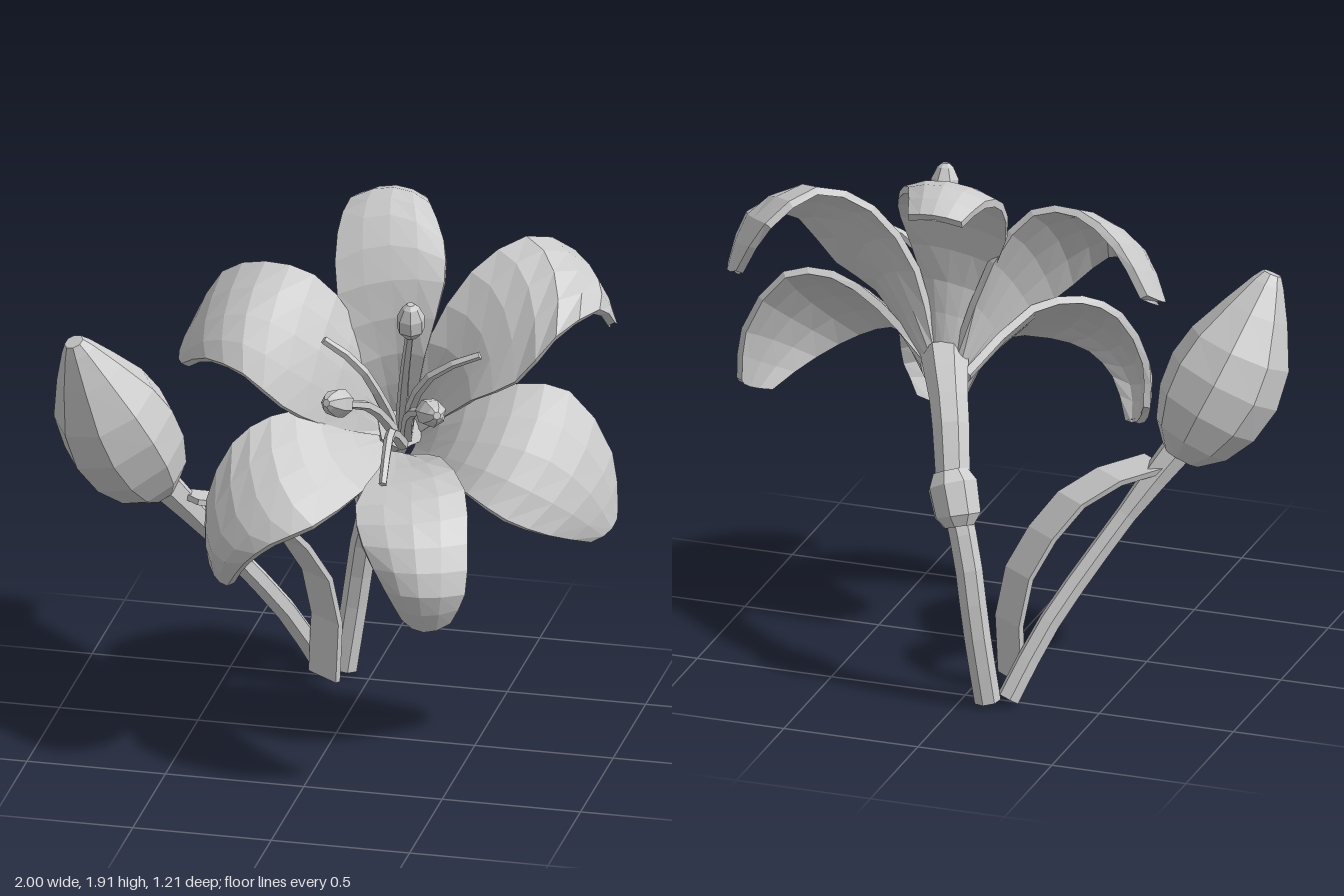
import * as THREE from 'three';

const V = (p) => new THREE.Vector3(...p);
const spline = (pts) => new THREE.CatmullRomCurve3(pts.map(V));
const even = (n) => Array.from({ length: n + 1 }, (_, i) => i / n);
const grey = new THREE.MeshStandardMaterial({ color: 0xcccccc });
grey.name = 'pale grey';

// Piecewise linear lookup in a list of [t, value] pairs
function ramp(list, t) {
  for (let i = 1; i < list.length; i++) {
    const [t0, a] = list[i - 1], [t1, b] = list[i];
    if (t <= t1) return a + (b - a) * (t - t0) / (t1 - t0);
  }
  return list[list.length - 1][1];
}

// Closed, faceted skin over rings of points, capped at both ends
function loft(name, rings) {
  const n = rings[0].length, pos = [], idx = [];
  rings.forEach((r) => r.forEach((p) => pos.push(p.x, p.y, p.z)));
  for (let i = 0; i < rings.length - 1; i++) {
    for (let j = 0; j < n; j++) {
      const k = (j + 1) % n;
      const a = i * n + j, b = i * n + k, c = b + n, d = a + n;
      idx.push(a, b, d, b, c, d);
    }
  }
  [0, rings.length - 1].forEach((row) => {
    const mid = new THREE.Vector3();
    rings[row].forEach((p) => mid.addScaledVector(p, 1 / n));
    const c = pos.length / 3;
    pos.push(mid.x, mid.y, mid.z);
    for (let j = 0; j < n; j++) {
      const a = row * n + j, b = row * n + (j + 1) % n;
      if (row === 0) idx.push(c, b, a);
      else idx.push(c, a, b);
    }
  });
  let geo = new THREE.BufferGeometry();
  geo.setAttribute('position', new THREE.Float32BufferAttribute(pos, 3));
  geo.setIndex(idx);
  geo = geo.toNonIndexed();
  geo.computeVertexNormals();
  const mesh = new THREE.Mesh(geo, grey);
  mesh.name = name;
  return mesh;
}

// Round part along a path; radii are [t, radius] pairs
function tube(name, pts, radii, sides, stations) {
  const curve = spline(pts);
  const frames = curve.computeFrenetFrames(40);
  return loft(name, stations.map((t) => {
    const f = Math.round(t * 40), p = curve.getPointAt(t), r = ramp(radii, t), ring = [];
    for (let j = 0; j < sides; j++) {
      const a = j / sides * Math.PI * 2;
      ring.push(p.clone().addScaledVector(frames.normals[f], r * Math.cos(a))
        .addScaledVector(frames.binormals[f], r * Math.sin(a)));
    }
    return ring;
  }));
}

// Curved plate spanned by an edge, a middle line and the opposite edge
function plate(name, edgeA, middle, edgeB, thick, stations, across) {
  const [ca, cm, cb] = [edgeA, middle, edgeB].map(spline);
  return loft(name, stations.map((t) => {
    const A = ca.getPoint(t), M = cm.getPoint(t), B = cb.getPoint(t);
    const half = A.clone().sub(B).multiplyScalar(0.5);
    const bow = A.clone().add(B).multiplyScalar(0.5).sub(M);
    const N = cm.getTangent(t).cross(half).normalize();
    const front = [], back = [];
    for (let j = 0; j <= across; j++) {
      const v = 1 - 2 * j / across;
      const q = M.clone().addScaledVector(half, v).addScaledVector(bow, v * v);
      front.push(q);
      back.unshift(q.clone().addScaledVector(N, -thick));
    }
    return [...front, ...back];
  }));
}

// Each petal: one edge, the middle line, the other edge, from throat to tip
const PETALS = {
  topPetal: [
    [[.13, 1.17, -.16], [.07, 1.38, -.1], [-.03, 1.62, -.14], [-.06, 1.8, -.27], [-.05, 1.87, -.43], [-.01, 1.84, -.57]],
    [[.19, 1.18, -.17], [.19, 1.42, -.13], [.16, 1.68, -.17], [.12, 1.87, -.31], [.1, 1.915, -.45], [.09, 1.86, -.59]],
    [[.24, 1.17, -.16], [.29, 1.42, -.12], [.345, 1.68, -.19], [.32, 1.8, -.29], [.24, 1.88, -.42], [.19, 1.84, -.57]]],
  upperLeftPetal: [
    [[.22, 1.19, -.17], [.29, 1.46, -.16], [.43, 1.71, -.24], [.6, 1.81, -.37], [.74, 1.71, -.52], [.86, 1.5, -.49]],
    [[.24, 1.14, -.18], [.42, 1.42, -.12], [.57, 1.62, -.15], [.73, 1.74, -.24], [.86, 1.67, -.37], [.91, 1.48, -.44]],
    [[.27, 1.12, -.15], [.48, 1.31, -.03], [.64, 1.4, -.02], [.78, 1.57, -.06], [.9, 1.62, -.22], [.92, 1.51, -.37]]],
  leftPetal: [
    [[.25, 1.14, -.18], [.45, 1.28, -.1], [.64, 1.37, -.08], [.82, 1.35, -.1], [.97, 1.12, -.12], [.995, .92, -.1]],
    [[.25, 1.08, -.17], [.44, 1.18, .04], [.62, 1.22, .13], [.8, 1.17, .12], [.93, 1.03, .05], [.99, .87, -.03]],
    [[.23, 1.03, -.14], [.38, 1.08, .1], [.53, 1.07, .24], [.68, 1.0, .28], [.82, .92, .2], [.93, .84, .04]]],
  bottomPetal: [
    [[.24, 1.03, -.14], [.4, 1.14, .1], [.53, 1.1, .28], [.575, .96, .43], [.585, .8, .51], [.53, .68, .5]],
    [[.2, 1.04, -.14], [.3, 1.1, .12], [.36, 1.08, .38], [.41, .97, .54], [.44, .81, .6], [.44, .65, .53]],
    [[.15, 1.04, -.14], [.18, 1.08, .12], [.16, 1.05, .39], [.22, .96, .53], [.31, .81, .57], [.36, .69, .53]]],
  lowerRightPetal: [
    [[.17, 1.03, -.14], [.16, 1.06, .28], [.03, 1.0, .49], [-.11, .94, .545], [-.21, .85, .53], [-.29, .72, .44]],
    [[.13, 1.07, -.15], [.03, 1.16, .22], [-.11, 1.13, .41], [-.25, 1.01, .48], [-.34, .86, .47], [-.35, .74, .4]],
    [[.12, 1.1, -.17], [-.04, 1.27, .08], [-.19, 1.28, .2], [-.31, 1.2, .28], [-.39, 1.0, .34], [-.39, .82, .35]]],
  upperRightPetal: [
    [[.15, 1.09, -.15], [-.02, 1.23, .12], [-.14, 1.33, .22], [-.28, 1.45, .24], [-.43, 1.47, .18], [-.55, 1.38, .04]],
    [[.14, 1.13, -.17], [.02, 1.4, 0], [-.13, 1.55, .09], [-.3, 1.62, .11], [-.46, 1.56, .06], [-.575, 1.4, -.03]],
    [[.16, 1.17, -.18], [.04, 1.52, -.14], [-.1, 1.71, -.09], [-.28, 1.74, -.1], [-.45, 1.66, -.16], [-.555, 1.47, -.15]]],
};

// Stamens: three carry an anther, three are bare
const STAMENS = [
  { path: [[.2, 1.1, -.14], [.25, 1.38, .02], [.3, 1.63, .14]], anther: [[.3, 1.6, .13], [.305, 1.735, .155]] },
  { path: [[.19, 1.1, -.14], [.15, 1.32, .13], [.09, 1.4, .32]], anther: [[.105, 1.39, .28], [.06, 1.44, .41]] },
  { path: [[.22, 1.1, -.14], [.3, 1.31, .13], [.41, 1.4, .32]], anther: [[.39, 1.39, .28], [.46, 1.43, .41]] },
  { path: [[.19, 1.1, -.14], [.15, 1.33, .02], [.09, 1.46, .08], [-.02, 1.55, .11]] },
  { path: [[.22, 1.1, -.14], [.29, 1.33, .01], [.38, 1.45, .06], [.53, 1.52, .05]] },
  { path: [[.21, 1.08, -.12], [.23, 1.23, .14], [.25, 1.23, .28], [.26, 1.14, .39]] },
];

const LEAF = [[-.13, .05, -.4], [-.13, .37, -.4], [-.22, .59, -.33], [-.36, .755, -.23], [-.57, .825, -.1]];

export function createModel() {
  const model = new THREE.Group();
  model.name = 'flower';

  // Petals
  Object.entries(PETALS).forEach(([name, [a, m, b]]) => model.add(plate(name, a, m, b, 0.028, even(10), 4)));

  // Stamens
  const stamens = new THREE.Group();
  stamens.name = 'stamens';
  STAMENS.forEach((s) => {
    stamens.add(tube('filament', s.path, [[0, .024], [1, .015]], 5, even(6)));
    if (s.anther) stamens.add(tube('anther', s.anther,
      [[0, .02], [.25, .05], [.6, .05], [.9, .03], [1, .014]], 7, [0, .25, .6, .9, 1]));
  });
  model.add(stamens);

  // Main stem, its knob and the flared throat
  model.add(tube('mainStem', [[-.1, .02, -.55], [-.06, .3, -.56], [-.02, .55, -.54], [.04, .74, -.49]],
    [[0, .048], [1, .05]], 7, even(6)));
  model.add(tube('stemKnob', [[.015, .655, -.52], [.04, .74, -.49], [.075, .83, -.45]],
    [[0, .055], [.2, .086], [.75, .092], [1, .066]], 8, [0, .2, .75, 1]));
  model.add(tube('flowerNeck', [[.06, .8, -.46], [.11, .985, -.345], [.16, 1.08, -.24], [.2, 1.14, -.15]],
    [[0, .062], [.6, .07], [1, .088]], 7, even(5)));

  // Bud and its stem
  model.add(tube('budStem', [[-.17, .03, -.53], [-.27, .27, -.41], [-.42, .53, -.26], [-.56, .75, -.14], [-.65, .88, -.07]],
    [[0, .042], [.7, .038], [1, .06]], 6, even(7)));
  model.add(tube('bud', [[-.655, .84, -.08], [-.8, 1.15, .045], [-.91, 1.48, .165]],
    [[0, .07], [.1, .145], [.25, .195], [.42, .213], [.6, .19], [.8, .12], [.95, .06], [1, .035]],
    8, [0, .1, .25, .425, .6, .8, .95, 1]));

  // Leaf beside the bud stem
  const leafEdge = (s) => LEAF.map(([x, y, z]) => [x + s * .06, y, z + s * .045]);
  model.add(plate('leaf', leafEdge(1), LEAF, leafEdge(-1), 0.02, even(6), 2));

  return model;
}
